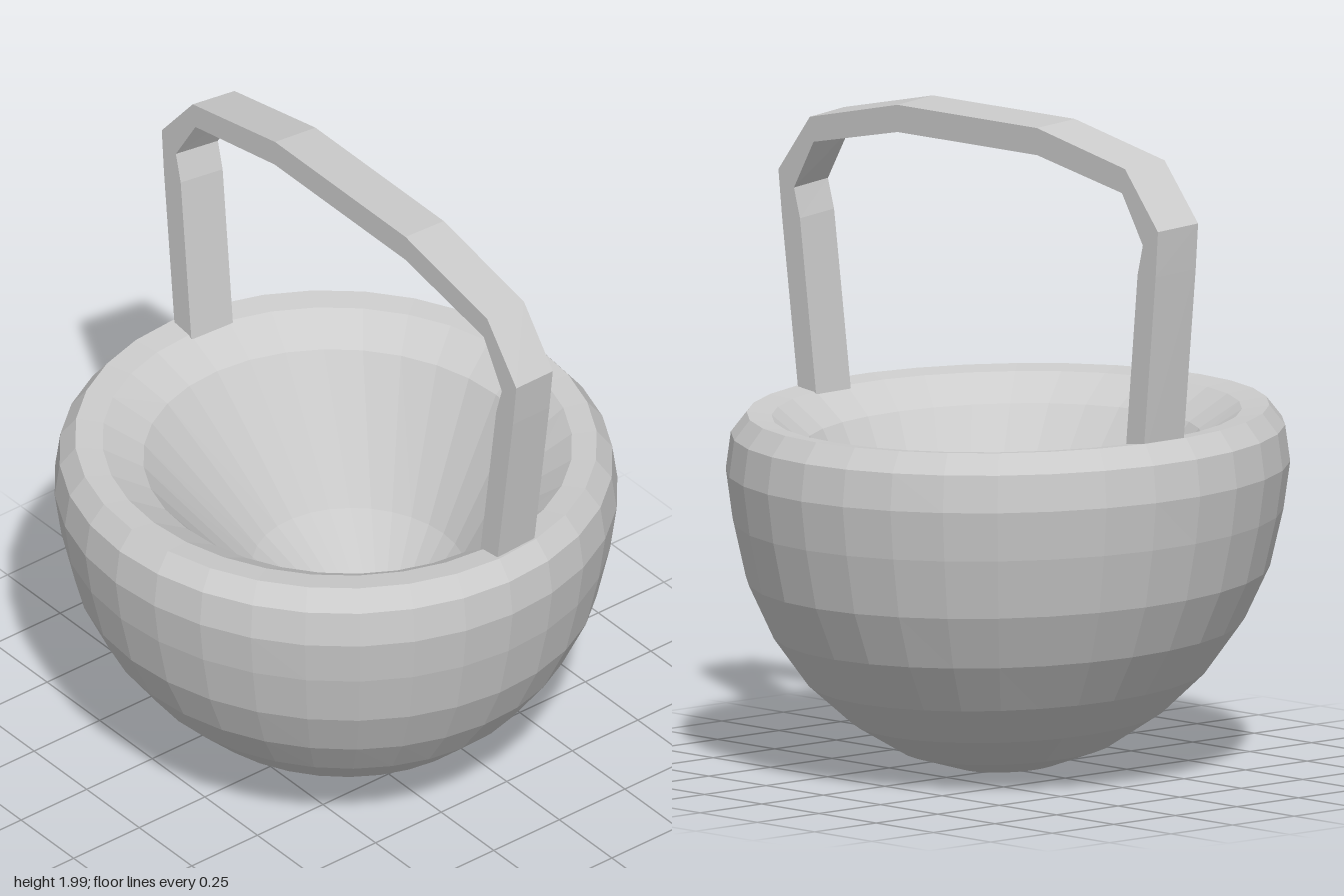
import * as THREE from 'three';

const material = new THREE.MeshStandardMaterial({ color: 0xcccccc, flatShading: true, side: THREE.DoubleSide });

// Rings of the bowl: [radius, height, x offset, slope along x]
const rings = [
  // outer wall, from the bottom up
  [0, 0.005, 0.02, -0.06], [0.16, 0.025, 0, -0.06], [0.32, 0.08, 0, -0.06],
  [0.47, 0.175, 0, -0.056], [0.6, 0.295, 0, -0.054], [0.705, 0.44, 0, -0.046],
  [0.78, 0.6, 0, -0.04], [0.82, 0.775, 0, -0.032], [0.84, 0.92, 0, -0.026],
  [0.825, 1.03, 0, -0.025], [0.778, 1.09, 0, -0.026],
  // rim and inner wall, back down
  [0.7, 1.08, 0.005, -0.026], [0.59, 1.0, 0.02, -0.035],
  [0.32, 0.58, 0.09, -0.06], [0.16, 0.39, 0.13, -0.06], [0, 0.27, 0.13, -0.06],
];

function createBowl() {
  const geometry = new THREE.LatheGeometry(rings.map(([r, h]) => new THREE.Vector2(r, h)), 32);
  const position = geometry.attributes.position;
  // lean each ring a little towards the left
  for (let i = 0; i < position.count; i++) {
    const [, h, offset, slope] = rings[i % rings.length];
    const x = position.getX(i);
    position.setXYZ(i, x + offset, h + slope * x, position.getZ(i));
  }
  geometry.computeVertexNormals();
  const bowl = new THREE.Mesh(geometry, material);
  bowl.name = 'bowl';
  return bowl;
}

function createHandle() {
  // half outlines as [z, y], from the rim to the top
  const outer = [[0.762, 1.03], [0.83, 1.6], [0.843, 1.738], [0.7, 1.912], [0.31, 1.992]];
  const inner = [[0.683, 1.03], [0.75, 1.6], [0.775, 1.69], [0.685, 1.838], [0.31, 1.91]];
  const arch = (half) => [...half, ...half.map(([z, y]) => [-z, y]).reverse()];
  const outline = [...arch(outer), ...arch(inner).reverse()];
  const shape = new THREE.Shape(outline.map(([z, y]) => new THREE.Vector2(z, y)));
  const geometry = new THREE.ExtrudeGeometry(shape, { depth: 0.15, bevelEnabled: false });
  geometry.translate(0, 0, -0.075).rotateY(-Math.PI / 2);
  // slight lean to the left, and a slight narrowing on that side
  const position = geometry.attributes.position;
  for (let i = 0; i < position.count; i++) {
    const x = position.getX(i), y = position.getY(i), z = position.getZ(i);
    position.setXYZ(i, x + 0.075 + 0.018 * (y - 1.09), y - 0.08 * x, z * (1 - 0.11 * (x + 0.075)));
  }
  geometry.computeVertexNormals();
  const handle = new THREE.Mesh(geometry, material);
  handle.name = 'handle';
  return handle;
}

export function createModel() {
  const basket = new THREE.Group();
  basket.name = 'basket';
  basket.add(createBowl(), createHandle());
  return basket;
}
